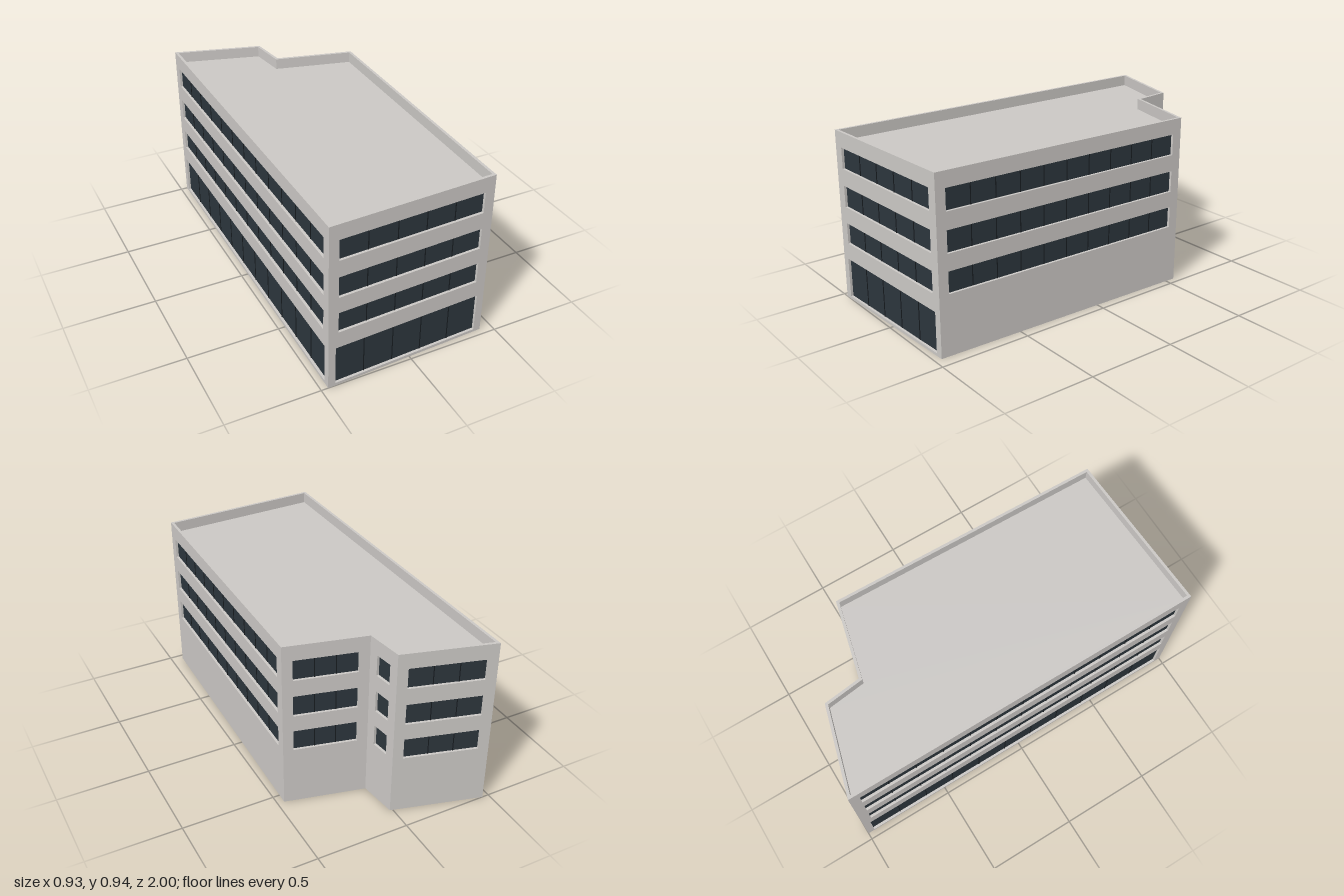
import * as THREE from 'three';

const HEIGHT = 0.94, ROOF_Y = 0.88, THICK = 0.015;

// footprint corners (x, z) and, for the wall starting at each: panes per upper window, panes of the ground floor glazing
const CORNERS = [
  { x: -0.463, z: 1.0, panes: 5, shopPanes: 5 },    // front
  { x: 0.433, z: 0.963, panes: 10, shopPanes: 0 },  // left long side (+x)
  { x: 0.463, z: -0.557, panes: 3, shopPanes: 0 },  // back, short part
  { x: 0.04, z: -0.66, panes: 1, shopPanes: 0 },    // step
  { x: 0.015, z: -0.865, panes: 3, shopPanes: 0 },  // back, projecting part
  { x: -0.463, z: -1.0, panes: 12, shopPanes: 11 }, // right long side (-x)
];
const NAMES = ['front', 'leftSide', 'backShort', 'step', 'backLong', 'rightSide'];
const FLOORS = [[0.327, 0.443], [0.533, 0.65], [0.742, 0.856]];
const N = CORNERS.length;

export function createModel() {
  const material = (name, color, side = THREE.FrontSide) => {
    const m = new THREE.MeshStandardMaterial({ color, side });
    m.name = name;
    return m;
  };
  const concrete = material('concrete', 0xcac7c4, THREE.DoubleSide);
  const glass = material('darkGlass', 0x2c353c, THREE.DoubleSide);
  const mullionDark = material('mullionDark', 0x161b1f);

  const model = new THREE.Group();
  model.name = 'officeBuilding';

  const addMesh = (parent, name, geometry, mat, x = 0, y = 0, z = 0) => {
    const mesh = new THREE.Mesh(geometry, mat);
    mesh.name = name;
    mesh.position.set(x, y, z);
    parent.add(mesh);
    return mesh;
  };

  // length and heading of every wall
  const edges = CORNERS.map((p, i) => {
    const q = CORNERS[(i + 1) % N];
    const dx = q.x - p.x, dz = q.z - p.z;
    return { length: Math.hypot(dx, dz), heading: Math.atan2(-dz, dx) };
  });
  // sideways shift of the inner face at each corner, so that walls meet in a mitre
  const mitres = edges.map((e, i) => {
    const turn = e.heading - edges[(i + N - 1) % N].heading;
    return THICK * Math.tan(Math.atan2(Math.sin(turn), Math.cos(turn)) / 2);
  });

  const inner = [];
  CORNERS.forEach((corner, i) => {
    const { length, heading } = edges[i];
    const wall = new THREE.Group();
    wall.name = NAMES[i] + 'Wall';
    wall.position.set(corner.x, 0, corner.z);
    wall.rotation.y = heading;
    model.add(wall);

    // window openings
    const windows = FLOORS.map(([y0, y1]) => ({ name: 'window', margin: 0.054, y0, y1, panes: corner.panes }));
    if (corner.shopPanes) {
      windows.push({ name: 'groundGlazing', margin: 0.04, y0: 0.015, y1: 0.235, panes: corner.shopPanes });
    }
    const rect = (path, x0, y0, x1, y1) =>
      path.moveTo(x0, y0).lineTo(x1, y0).lineTo(x1, y1).lineTo(x0, y1).closePath();
    const shape = new THREE.Shape();
    rect(shape, 0, 0, length, HEIGHT);
    for (const w of windows) {
      const hole = new THREE.Path();
      rect(hole, w.margin, w.y0, length - w.margin, w.y1);
      shape.holes.push(hole);
    }

    // wall with mitred ends
    const geometry = new THREE.ExtrudeGeometry(shape, { depth: THICK, bevelEnabled: false });
    geometry.translate(0, 0, -THICK);
    const pos = geometry.attributes.position;
    for (let v = 0; v < pos.count; v++) {
      if (pos.getZ(v) > -THICK / 2) continue;
      if (pos.getX(v) < 1e-4) pos.setX(v, mitres[i]);
      else if (pos.getX(v) > length - 1e-4) pos.setX(v, length - mitres[(i + 1) % N]);
    }
    geometry.computeVertexNormals();
    addMesh(wall, 'wall', geometry, concrete);

    // recessed glass and mullions
    for (const w of windows) {
      const width = length - 2 * w.margin, h = w.y1 - w.y0, y = (w.y0 + w.y1) / 2;
      addMesh(wall, w.name + 'Glass', new THREE.PlaneGeometry(width, h), glass, length / 2, y, -THICK + 0.001);
      for (let k = 1; k < w.panes; k++) {
        addMesh(wall, w.name + 'Mullion', new THREE.BoxGeometry(0.004, h, 0.003), mullionDark,
          w.margin + (width * k) / w.panes, y, -THICK + 0.0025);
      }
    }

    // inner corner, for the roof outline
    const c = Math.cos(heading), s = Math.sin(heading);
    inner.push(new THREE.Vector2(
      corner.x + mitres[i] * c - THICK * s,
      -(corner.z - mitres[i] * s - THICK * c)));
  });

  // flat roof sunk behind the parapet
  const roof = addMesh(model, 'roof', new THREE.ShapeGeometry(new THREE.Shape(inner)), concrete, 0, ROOF_Y, 0);
  roof.rotation.x = -Math.PI / 2;

  return model;
}
